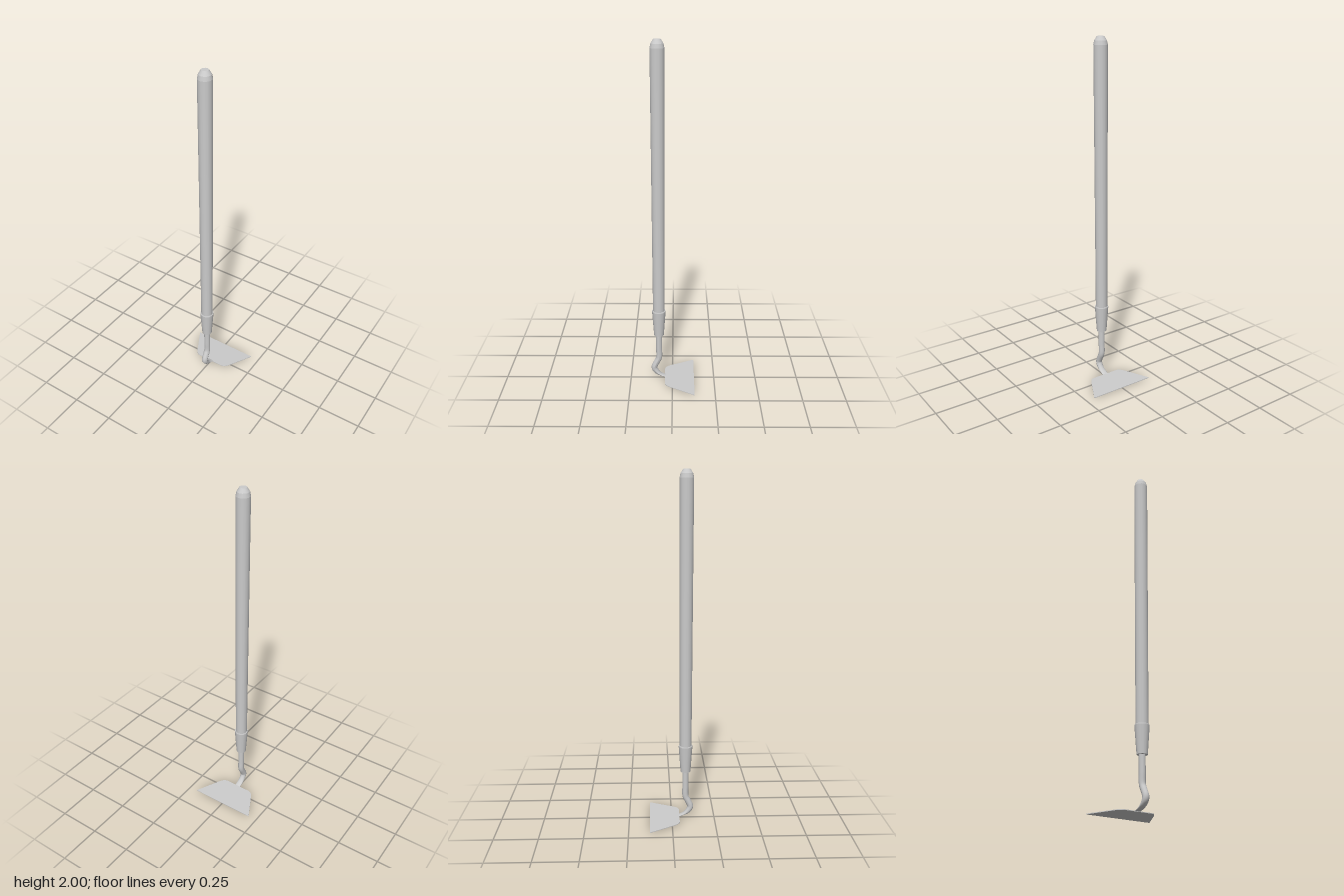
import * as THREE from 'three';

const AXIS_Z = 0.08; // handle axis sits in front of the blade
const material = new THREE.MeshStandardMaterial({ color: 0xcccccc, side: THREE.DoubleSide });

function addMesh(group, name, geometry) {
  const mesh = new THREE.Mesh(geometry, material);
  mesh.name = name;
  group.add(mesh);
  return mesh;
}

// Revolved part; each span is its own strip so the profile corners stay sharp
function addTurned(group, name, profile, sides) {
  const part = new THREE.Group();
  part.name = name;
  part.position.z = AXIS_Z;
  for (let i = 0; i < profile.length - 1; i++) {
    const span = [profile[i], profile[i + 1]].map(([r, y]) => new THREE.Vector2(r, y));
    addMesh(part, name + 'Section', new THREE.LatheGeometry(span, sides));
  }
  group.add(part);
}

// Bent rod that flattens and thins into the blade
function neckGeometry() {
  const path = new THREE.CatmullRomCurve3([
    [0.31, 0.08], [0.2, 0.08], [0.135, 0.081], [0.105, 0.095], [0.07, 0.109],
    [0.045, 0.097], [0.025, 0.073], [0.013, 0.043],
  ].map(([y, z]) => new THREE.Vector3(0, y, z)));
  const rings = 36, sides = 12;
  const geometry = new THREE.TubeGeometry(path, rings, 0.018, sides);
  const pos = geometry.attributes.position;
  const p = new THREE.Vector3(), c = new THREE.Vector3();
  for (let i = 0; i < pos.count; i++) {
    const t = Math.floor(i / (sides + 1)) / rings;
    path.getPointAt(t, c);
    p.fromBufferAttribute(pos, i).sub(c);
    const thin = 1 - 0.8 * THREE.MathUtils.smoothstep(t, 0.74, 1);
    pos.setXYZ(i, p.x, c.y + p.y * thin, c.z + p.z * thin);
  }
  geometry.computeVertexNormals();
  return geometry;
}

// Trapezoid plate with rounded corners beside the neck, sloping to its cutting edge
function bladeGeometry() {
  const shape = new THREE.Shape();
  shape.moveTo(-0.198, -0.13);
  shape.lineTo(0.198, -0.13);
  shape.lineTo(0.122, 0.012);
  shape.quadraticCurveTo(0.105, 0.045, 0.08, 0.045);
  shape.lineTo(-0.08, 0.045);
  shape.quadraticCurveTo(-0.105, 0.045, -0.122, 0.012);
  shape.closePath();
  const geometry = new THREE.ExtrudeGeometry(shape, { depth: 0.004, bevelEnabled: false, curveSegments: 6 });
  geometry.rotateX(Math.PI / 2);
  const pos = geometry.attributes.position;
  for (let i = 0; i < pos.count; i++) {
    const t = (pos.getZ(i) + 0.13) / 0.175;
    pos.setY(i, pos.getY(i) + 0.004 + 0.007 * t);
  }
  geometry.computeVertexNormals();
  return geometry;
}

export function createModel() {
  const hoe = new THREE.Group();
  hoe.name = 'gardenHoe';

  // Wooden handle with a chamfered tip
  addTurned(hoe, 'handle', [[0, 0.4], [0.034, 0.4], [0.039, 1.955], [0.034, 1.978], [0.02, 2], [0, 2]], 14);

  // Tapered ferrule gripping the handle
  addTurned(hoe, 'ferrule', [[0, 0.29], [0.029, 0.29], [0.04, 0.445], [0.039, 0.45], [0.033, 0.45]], 14);

  addMesh(hoe, 'neck', neckGeometry());
  addMesh(hoe, 'blade', bladeGeometry());
  return hoe;
}
